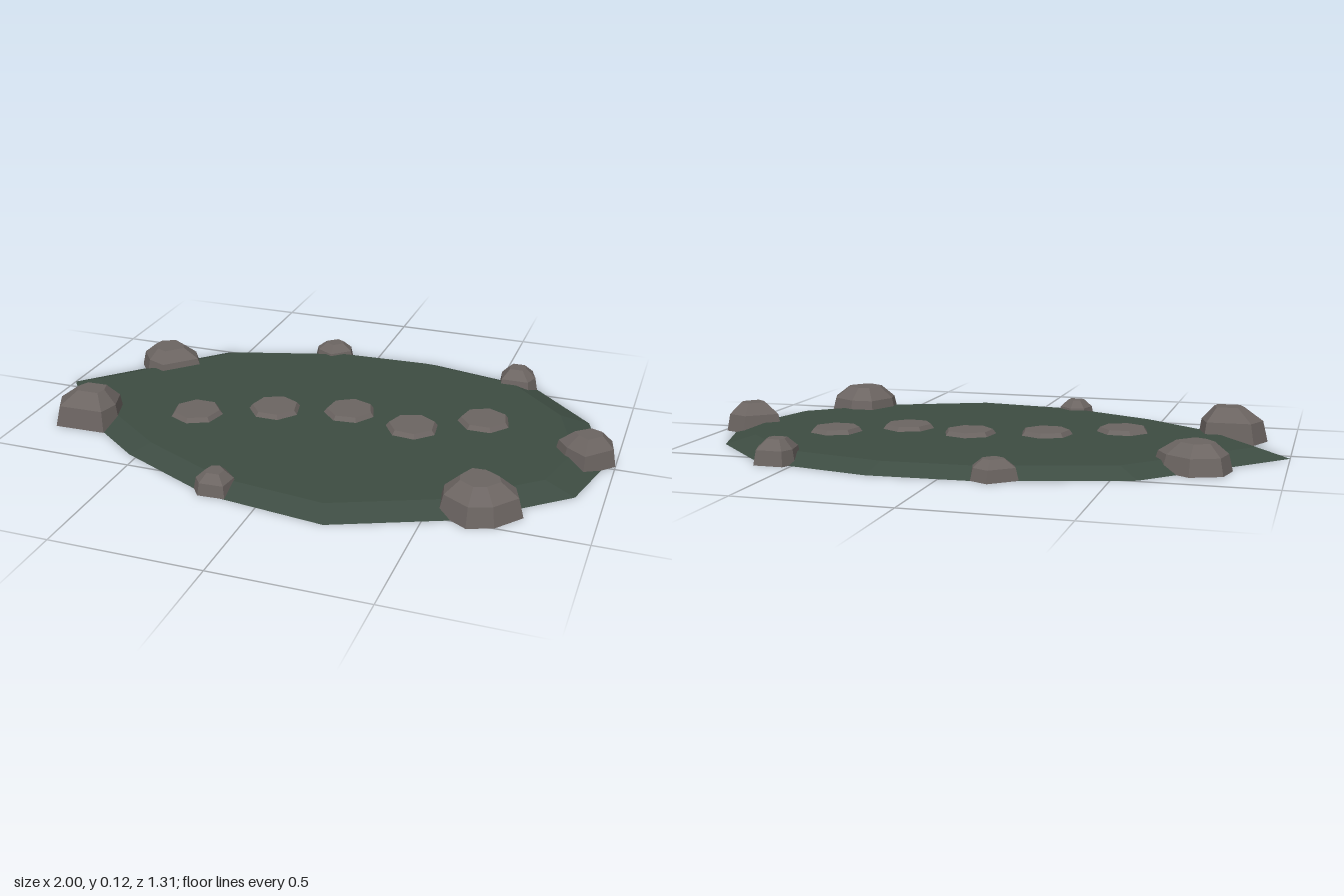
import * as THREE from 'three';

const moss = new THREE.MeshStandardMaterial({ color: 0x3d4c42, side: THREE.DoubleSide, flatShading: true });
moss.name = 'pond green';
const stone = new THREE.MeshStandardMaterial({ color: 0x6c6562, side: THREE.DoubleSide, flatShading: true });
stone.name = 'stone grey';

// Stacks scaled copies of an outline (flat list of x, z) and closes the top.
// Each level is [scale, y]; copies shrink towards the point (cx, cz).
function loft(outline, cx, cz, levels) {
  const n = outline.length / 2;
  const pos = [];
  const index = [];
  for (const [s, y] of levels) {
    for (let i = 0; i < n; i++) {
      pos.push(cx + (outline[2 * i] - cx) * s, y, cz + (outline[2 * i + 1] - cz) * s);
    }
  }
  for (let k = 0; k < levels.length - 1; k++) {
    for (let i = 0; i < n; i++) {
      const a = k * n + i;
      const b = k * n + (i + 1) % n;
      index.push(a, a + n, b, b, a + n, b + n);
    }
  }
  const top = (levels.length - 1) * n;
  pos.push(cx, levels[levels.length - 1][1], cz);
  for (let i = 0; i < n; i++) index.push(top + n, top + (i + 1) % n, top + i);
  const g = new THREE.BufferGeometry();
  g.setAttribute('position', new THREE.Float32BufferAttribute(pos, 3));
  g.setIndex(index);
  const flat = g.toNonIndexed();
  flat.computeVertexNormals();
  return flat;
}

export function createModel() {
  const model = new THREE.Group();
  model.name = 'pond';
  const add = (geometry, material, name) => {
    const mesh = new THREE.Mesh(geometry, material);
    mesh.name = name;
    model.add(mesh);
    return mesh;
  };

  // Low slab with a sloping rim, open underneath
  const shore = [
    -1, -0.04, -0.58, -0.49, -0.12, -0.63, 0.23, -0.645, 0.63, -0.56, 0.87, -0.32, 0.97, -0.02,
    0.91, 0.23, 0.62, 0.48, 0.23, 0.65, -0.17, 0.6, -0.53, 0.43, -0.8, 0.23,
  ];
  add(loft(shore, 0, 0, [[1, 0], [0.89, 0.032]]), moss, 'pondBase');

  // Boulders around the rim: crown centre, height, crown scale, ground outline
  const boulders = [
    [-0.73, -0.28, 0.09, 0.48, [-0.72, -0.41, -0.63, -0.35, -0.59, -0.28, -0.7, -0.165, -0.78, -0.2, -0.84, -0.28, -0.82, -0.37]],
    [-0.765, 0.22, 0.12, 0.42, [-0.91, 0.235, -0.87, 0.145, -0.7, 0.14, -0.67, 0.235, -0.69, 0.315, -0.87, 0.32]],
    [0.64, 0.4, 0.107, 0.48, [0.52, 0.4, 0.57, 0.285, 0.66, 0.28, 0.76, 0.34, 0.785, 0.41, 0.715, 0.5, 0.635, 0.53, 0.535, 0.47]],
    [0.91, -0.03, 0.1, 0.45, [0.795, -0.035, 0.9, -0.125, 0.985, -0.09, 1, -0.02, 0.91, 0.075, 0.835, 0.02]],
    [0.565, -0.545, 0.08, 0.42, [0.5, -0.56, 0.52, -0.61, 0.62, -0.61, 0.645, -0.54, 0.625, -0.48, 0.515, -0.48]],
    [-0.16, -0.59, 0.065, 0.45, [-0.24, -0.59, -0.16, -0.66, -0.1, -0.63, -0.085, -0.58, -0.155, -0.515, -0.225, -0.555]],
    [-0.165, 0.55, 0.066, 0.45, [-0.23, 0.57, -0.21, 0.495, -0.155, 0.48, -0.1, 0.53, -0.11, 0.605, -0.2, 0.61]],
  ];
  for (const [x, z, h, crown, outline] of boulders) {
    add(loft(outline, x, z, [[1, 0], [0.88, h * 0.6], [crown, h]]), stone, 'boulder');
  }

  // Seven-sided stepping stones with a bevelled edge: x, z, turn
  const steps = [
    [-0.425, 0.12, 0], [-0.18, 0, Math.PI], [0.075, -0.065, Math.PI + 0.1],
    [0.315, -0.015, Math.PI - 0.1], [0.535, -0.145, Math.PI],
  ];
  for (const [x, z, turn] of steps) {
    const mesh = add(new THREE.CylinderGeometry(0.08, 0.092, 0.016, 7), stone, 'steppingStone');
    mesh.position.set(x, 0.039, z);
    mesh.rotation.y = turn;
  }
  return model;
}
